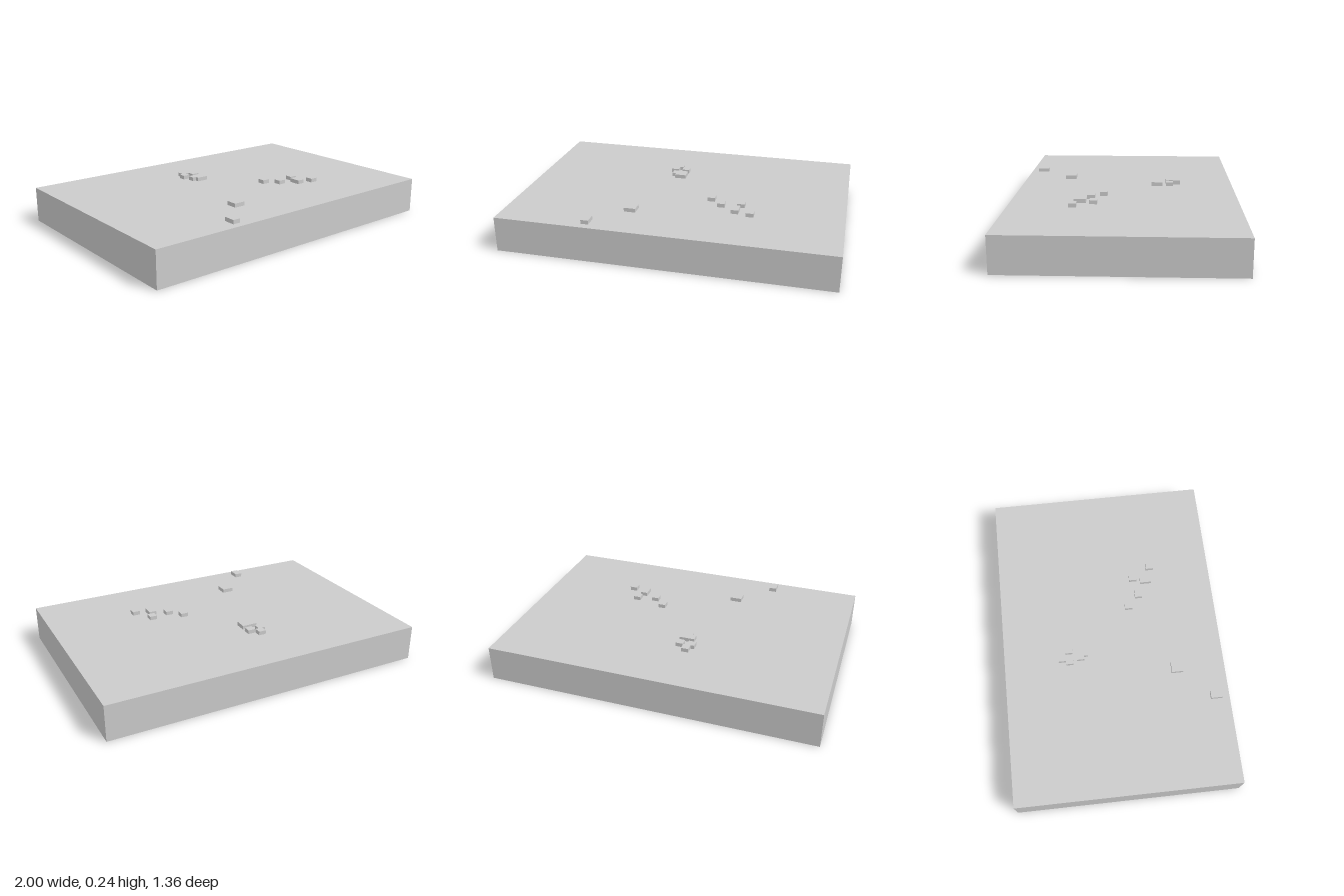
import * as THREE from 'three';

export function createModel() {
  const model = new THREE.Group();
  const material = new THREE.MeshStandardMaterial({ color: 0xcccccc, flatShading: true });
  const baseTop = 0.216, blockTop = 0.24;

  // Box standing between two heights
  function addBox(name, x, z, width, depth, bottom, top) {
    const mesh = new THREE.Mesh(new THREE.BoxGeometry(width, top - bottom, depth), material);
    mesh.position.set(x, (bottom + top) / 2, z);
    mesh.name = name;
    model.add(mesh);
  }

  // Thick rectangular slab
  addBox('base', 0, 0, 2, 1.356, 0, baseTop);

  // Small raised blocks: x, z, width, depth
  const s = 0.046, l = 0.071;
  const blocks = [
    // back cluster
    [-0.122, -0.32, s, s],
    [-0.144, -0.275, s, s],
    [-0.073, -0.275, s, s],
    [-0.122, -0.205, s, s],
    [-0.087, -0.193, l, l],
    // front left scatter
    [0.187, 0.132, s, s],
    [0.26, 0.204, s, s],
    [0.38, 0.181, s, s],
    [0.357, 0.262, s, l],
    [0.45, 0.298, s, s],
    // front right pair
    [-0.252, 0.382, l, l],
    [-0.454, 0.597, s, l],
  ];
  blocks.forEach(([x, z, w, d], i) => addBox(`block${i + 1}`, x, z, w, d, baseTop, blockTop));

  return model;
}
